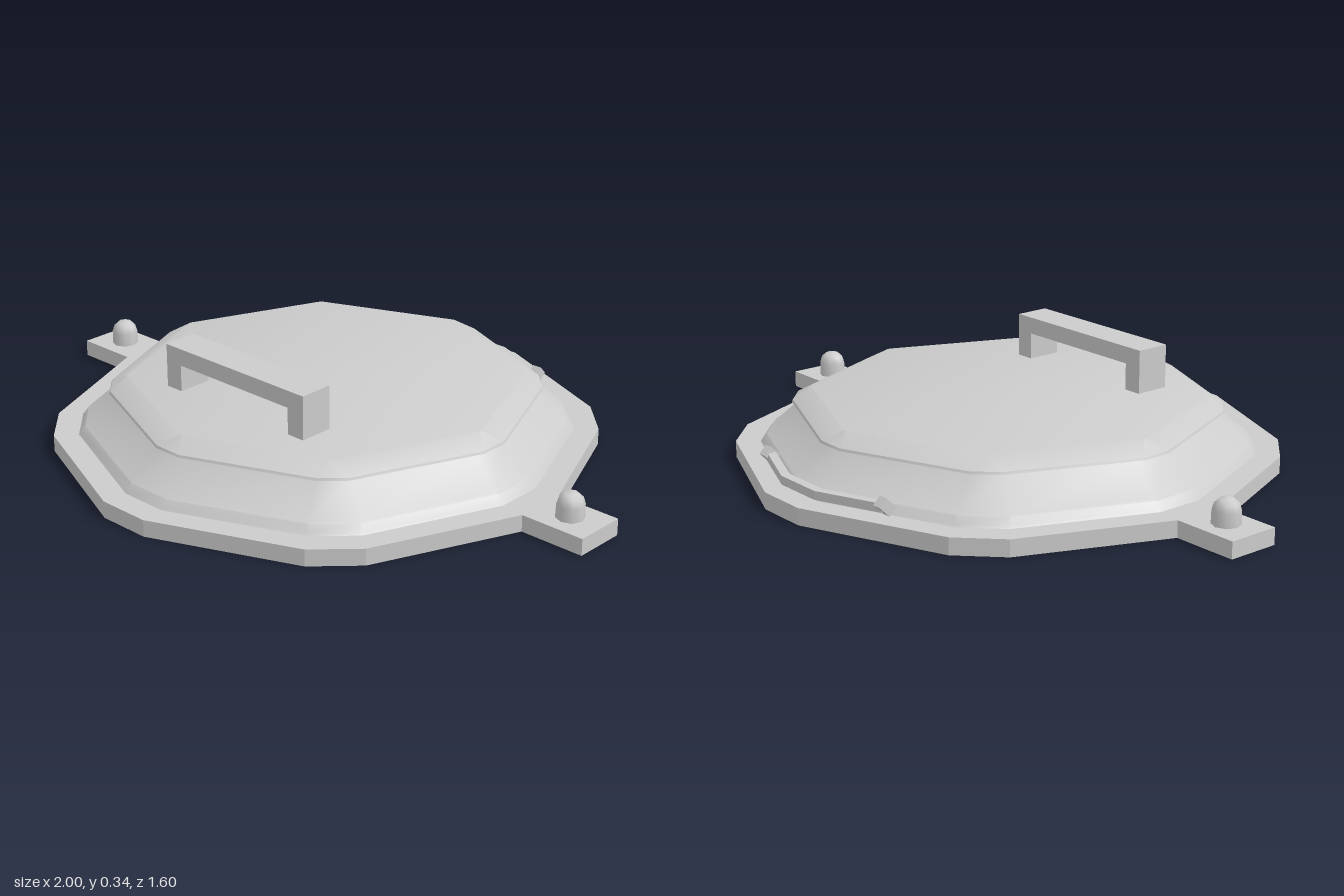
import * as THREE from 'three';
import { toCreasedNormals } from 'three/addons/utils/BufferGeometryUtils.js';

const material = new THREE.MeshStandardMaterial({ color: 0xcccccc, side: THREE.DoubleSide });

function add(parent, name, geometry, x = 0, y = 0, z = 0) {
  const mesh = new THREE.Mesh(geometry, material);
  mesh.name = name;
  mesh.position.set(x, y, z);
  parent.add(mesh);
  return mesh;
}

// Octagon with blunted corners: each corner becomes a short edge of half-width c at distance r
function bluntOctagon(r, c) {
  const points = [];
  for (let k = 0; k < 8; k++) {
    for (const s of [-c, c]) {
      points.push(new THREE.Vector2(r, s).rotateAround(new THREE.Vector2(), k * Math.PI / 4));
    }
  }
  return points;
}

// Extrudes a plan shape upwards; plan y points to the back
function slab(shape, height) {
  return new THREE.ExtrudeGeometry(shape, { depth: height, bevelEnabled: false }).rotateX(-Math.PI / 2);
}

// Skins a stack of blunted octagons given as [r, c, y], from the bottom up
function loft(sections) {
  const positions = [], index = [], n = 16;
  for (const [r, c, y] of sections) {
    for (const p of bluntOctagon(r, c)) positions.push(p.x, y, p.y);
  }
  for (let i = 0; i < sections.length - 1; i++) {
    for (let j = 0; j < n; j++) {
      const a = i * n + j, b = i * n + (j + 1) % n;
      index.push(a, a + n, b, b, a + n, b + n);
    }
  }
  const geometry = new THREE.BufferGeometry();
  geometry.setAttribute('position', new THREE.Float32BufferAttribute(positions, 3));
  geometry.setIndex(index);
  return toCreasedNormals(geometry, 0.55);
}

export function createModel() {
  const group = new THREE.Group();
  group.name = 'hatch';

  // Flat mounting ring with an ear on each side
  const outline = [];
  bluntOctagon(0.8, 0.08).forEach((p, i) => {
    if (i === 1) outline.push(new THREE.Vector2(1, -0.08), new THREE.Vector2(1, 0.08));
    if (i === 9) outline.push(new THREE.Vector2(-1, 0.08), new THREE.Vector2(-1, -0.08));
    outline.push(p);
  });
  const ring = new THREE.Shape(outline);
  ring.holes.push(new THREE.Path(bluntOctagon(0.72, 0.072)));
  add(group, 'mountingRing', slab(ring, 0.05));

  // Hollow lid: foot, sloping wall, overhanging lip, flat top
  add(group, 'lid', loft([
    [0.727, 0.073, 0.05], [0.722, 0.072, 0.056], [0.708, 0.07, 0.076], [0.7, 0.068, 0.08],
    [0.61, 0.045, 0.162], [0.635, 0.045, 0.166], [0.632, 0.044, 0.173],
    [0.585, 0.003, 0.204], [0, 0, 0.204],
  ]));

  // Domed bolts on the ears
  const boltProfile = [[0.041, 0], [0.04, 0.04], [0.034, 0.06], [0.021, 0.072], [0, 0.076]]
    .map(([x, y]) => new THREE.Vector2(x, y));
  for (const side of [-1, 1]) {
    add(group, side > 0 ? 'leftBolt' : 'rightBolt', new THREE.LatheGeometry(boltProfile, 8), side * 0.9, 0.05, 0);
  }

  // Bracket handle near the front of the lid
  const bracket = new THREE.Shape([
    [-0.272, 0], [-0.214, 0], [-0.214, 0.082], [0.214, 0.082],
    [0.214, 0], [0.272, 0], [0.272, 0.133], [-0.272, 0.133],
  ].map(([x, y]) => new THREE.Vector2(x, y)));
  add(group, 'handle', new THREE.ExtrudeGeometry(bracket, { depth: 0.106, bevelEnabled: false }), 0, 0.202, 0.275);

  // Hinge bar bent around the back of the lid, held by a clip at each end
  const bar = new THREE.Shape([
    [-0.275, 0.665], [-0.08, 0.745], [0.08, 0.745], [0.275, 0.665],
    [0.275, 0.638], [0.08, 0.718], [-0.08, 0.718], [-0.275, 0.638],
  ].map(([x, y]) => new THREE.Vector2(x, y)));
  add(group, 'hingeBar', slab(bar, 0.026), 0, 0.06, 0);
  for (const side of [-1, 1]) {
    const clip = add(group, side > 0 ? 'leftHingeClip' : 'rightHingeClip',
      new THREE.BoxGeometry(0.03, 0.032, 0.046), side * 0.275, 0.076, -0.653);
    clip.rotation.x = Math.PI / 4;
  }

  return group;
}
